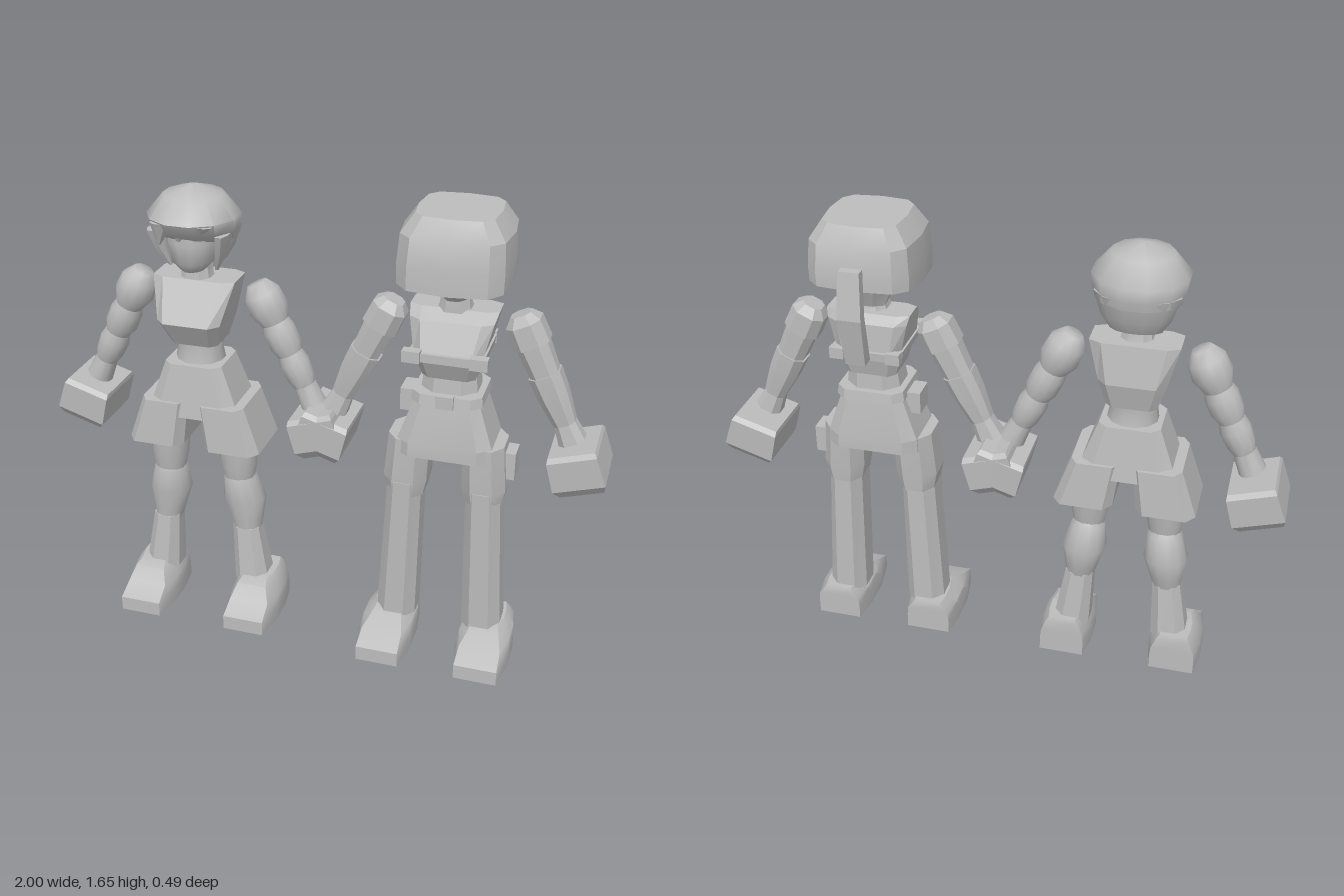
import * as THREE from 'three';
import { toCreasedNormals } from 'three/addons/utils/BufferGeometryUtils.js';

const grey = new THREE.MeshStandardMaterial({ color: 0xbcbcbc });
grey.name = 'clay grey';

// Unit outlines in the x/z plane
const ngon = n => Array.from({ length: n }, (_, i) => {
  const t = (i + 0.5) / n * Math.PI * 2, k = 1 / Math.cos(Math.PI / n);
  return [Math.cos(t) * k, Math.sin(t) * k];
});
const cutBox = c => [[1, -c], [1, c], [c, 1], [-c, 1], [-1, c], [-1, -c], [-c, -1], [c, -1]];
const OCT = cutBox(0.5), BLOCK = cutBox(0.72), BOX = ngon(4), ROUND = ngon(12);
const SOLE = [[0.85, -1], [1, -0.4], [1, 0.3], [0.8, 1], [-0.8, 1], [-1, 0.3], [-1, -0.4], [-0.85, -1]];
const BARREL = [[1, 0], [0.93, 0.68], [0.7, 0.92], [0, 1], [-0.7, 0.92], [-0.93, 0.68],
  [-1, 0], [-0.93, -0.68], [-0.7, -0.92], [0, -1], [0.7, -0.92], [0.93, -0.68]];

// Closed loft through horizontal sections [y, halfWidth, zBack, zFront, xCentre], bottom to top
function loft(sections, outline, crease = 0.5) {
  const pos = [], idx = [], n = outline.length, last = sections.length - 1;
  for (const [y, rx, zb, zf, cx = 0] of sections)
    for (const [ox, oz] of outline) pos.push(cx + rx * ox, y, (zb + zf) / 2 + (zf - zb) / 2 * oz);
  for (let i = 0; i < last; i++) for (let j = 0; j < n; j++) {
    const k = (j + 1) % n, a = i * n + j, b = i * n + k;
    idx.push(a, a + n, b, b, a + n, b + n);
  }
  for (const [i, flip] of [[0, false], [last, true]]) {
    const [y, , zb, zf, cx = 0] = sections[i], c = pos.length / 3;
    pos.push(cx, y, (zb + zf) / 2);
    for (let j = 0; j < n; j++) {
      const a = i * n + j, b = i * n + (j + 1) % n;
      idx.push(c, flip ? b : a, flip ? a : b);
    }
  }
  const g = new THREE.BufferGeometry();
  g.setAttribute('position', new THREE.Float32BufferAttribute(pos, 3));
  g.setIndex(idx);
  return toCreasedNormals(g, crease);
}

function add(group, name, geometry, x = 0, y = 0, z = 0, tilt = 0) {
  const m = new THREE.Mesh(geometry, grey);
  m.name = name;
  m.position.set(x, y, z);
  m.rotation.z = tilt;
  group.add(m);
  return m;
}
const box = (w, h, d) => new THREE.BoxGeometry(w, h, d);
// Limb profile [distance below the joint, radius] to loft sections
const limb = p => p.map(([d, r]) => [-d, r, -r, r]).reverse();
const shift = (sections, s) => sections.map(([y, rx, zb, zf, cx = 0]) => [y, rx, zb, zf, cx * s]);

// Arms, gloves and feet share their layout
function addArm(g, s, profiles, outline, crease) {
  profiles.forEach(([name, p]) => add(g, name, loft(limb(p), outline, crease), s * 0.215, 1.3, -0.02, s * 0.44));
  add(g, 'glove', loft([[-0.085, 0.075, -0.12, 0.05], [-0.05, 0.09, -0.15, 0.08],
    [0.06, 0.085, -0.155, 0.085], [0.075, 0.08, -0.14, 0.07]], BOX, 0.2), s * 0.445, 0.79, 0, s * 0.3);
}
function addFoot(g, s, x, toe, h) {
  add(g, 'shoe', loft([[0, 0.096, -0.09, toe], [0.055, 0.096, -0.09, toe],
    [0.09, 0.092, -0.09, toe - 0.07], [h - 0.015, 0.07, -0.09, 0.11], [h, 0.058, -0.085, 0.07]], SOLE, 0.6), s * x);
}

function makeShortsFigure() {
  const g = new THREE.Group();
  g.name = 'figureInShorts';
  // Head and hair
  add(g, 'neck', loft([[1.29, 0.07, -0.07, 0.05], [1.325, 0.05, -0.055, 0.045], [1.4, 0.045, -0.05, 0.04]], OCT));
  add(g, 'face', loft([[1.355, 0.04, -0.03, 0.075], [1.39, 0.075, -0.06, 0.1],
    [1.46, 0.088, -0.08, 0.108], [1.55, 0.088, -0.08, 0.1]], ROUND, 1));
  add(g, 'hairCap', loft([[1.47, 0.14, -0.145, 0.085], [1.5, 0.15, -0.152, 0.13], [1.545, 0.157, -0.155, 0.155],
    [1.615, 0.1, -0.1, 0.1], [1.645, 0.012, -0.012, 0.012]], ROUND, 1.1));
  add(g, 'backHair', loft([[1.37, 0.085, -0.1, -0.01], [1.42, 0.115, -0.13, 0.015],
    [1.5, 0.14, -0.148, 0.04]], ROUND, 0.9));
  for (const s of [-1, 1])
    add(g, 'sideLock', loft([[1.36, 0.006, 0.02, 0.035, 0.085 * s], [1.43, 0.018, 0, 0.075, 0.108 * s],
      [1.5, 0.022, -0.02, 0.1, 0.122 * s]], OCT));
  for (const [x, w, tip] of [[-0.07, 0.04, 1.455], [0, 0.045, 1.47], [0.07, 0.04, 1.49]])
    add(g, 'fringe', loft([[tip, 0.004, 0.095, 0.105, x - 0.02], [1.54, w, 0.085, 0.14, x]], OCT));
  // Body
  add(g, 'chest', loft([[1.085, 0.086, -0.085, 0.075], [1.18, 0.115, -0.11, 0.135],
    [1.32, 0.15, -0.09, 0.05]], BLOCK, 0.2));
  add(g, 'waist', loft([[1.0, 0.088, -0.085, 0.08], [1.05, 0.08, -0.075, 0.07], [1.1, 0.083, -0.08, 0.072]], ROUND, 1));
  add(g, 'hips', loft([[0.82, 0.175, -0.125, 0.125], [1.015, 0.105, -0.1, 0.1]], BLOCK, 0.2));
  const arm = [
    ['shoulder', [[-0.01, 0.035], [0.03, 0.063], [0.09, 0.068], [0.15, 0.045]]],
    ['upperArm', [[0.13, 0.045], [0.17, 0.056], [0.23, 0.056], [0.28, 0.038]]],
    ['forearm', [[0.25, 0.04], [0.3, 0.052], [0.36, 0.048], [0.4, 0.036]]],
    ['wrist', [[0.36, 0.036], [0.47, 0.046]]]];
  for (const s of [-1, 1]) {
    addArm(g, s, arm, ROUND, 1);
    add(g, 'shortsLeg', loft(shift([[0.705, 0.104, -0.14, 0.14, 0.144],
      [0.875, 0.085, -0.13, 0.13, 0.105]], s), BLOCK, 0.2));
    add(g, 'thigh', loft(shift([[0.54, 0.052, -0.04, 0.06, 0.137], [0.62, 0.066, -0.055, 0.075, 0.135],
      [0.74, 0.074, -0.07, 0.08, 0.13]], s), ROUND, 1));
    add(g, 'calf', loft(shift([[0.33, 0.05, -0.05, 0.05, 0.16], [0.38, 0.06, -0.065, 0.055, 0.155],
      [0.46, 0.077, -0.082, 0.065, 0.148], [0.55, 0.06, -0.06, 0.068, 0.138], [0.58, 0.045, -0.04, 0.055, 0.137]], s), ROUND, 1));
    add(g, 'bootShaft', loft(shift([[0.12, 0.066, -0.07, 0.075, 0.183],
      [0.345, 0.05, -0.052, 0.052, 0.16]], s), OCT));
    addFoot(g, s, 0.207, 0.215, 0.155);
  }
  return g;
}

function makeTrouserFigure() {
  const g = new THREE.Group();
  g.name = 'figureInTrousers';
  // Head, helmet-like hair and ponytail
  add(g, 'neck', loft([[1.29, 0.07, -0.07, 0.05], [1.33, 0.05, -0.05, 0.05], [1.4, 0.045, -0.045, 0.045]], OCT));
  add(g, 'face', loft([[1.355, 0.035, -0.03, 0.06], [1.39, 0.075, -0.06, 0.095], [1.46, 0.09, -0.08, 0.11]], OCT));
  add(g, 'underHair', loft([[1.365, 0.07, -0.11, -0.04], [1.45, 0.115, -0.15, 0.02]], OCT));
  for (const s of [-1, 1])
    add(g, 'sideLock', loft([[1.365, 0.008, 0.01, 0.03, 0.085 * s], [1.45, 0.02, -0.03, 0.08, 0.105 * s]], OCT));
  const helmet = loft([[1.425, 0.186, -0.188, 0.19], [1.5, 0.187, -0.188, 0.188],
    [1.59, 0.18, -0.175, 0.175], [1.655, 0.135, -0.14, 0.14]], BARREL, 0.42);
  // Raise the rim towards the back
  const p = helmet.attributes.position;
  for (let i = 0; i < p.count; i++)
    if (p.getY(i) < 1.43) p.setY(i, 1.435 - p.getZ(i) * 0.08);
  add(g, 'helmetHair', helmet);
  add(g, 'ponytail', loft([[1.19, 0.034, -0.205, -0.155], [1.37, 0.042, -0.242, -0.205],
    [1.53, 0.036, -0.215, -0.182]], BOX, 0.1));
  // Torso, chest band and belt
  add(g, 'chest', loft([[1.09, 0.09, -0.085, 0.09], [1.18, 0.115, -0.11, 0.135],
    [1.29, 0.14, -0.1, 0.085], [1.32, 0.148, -0.075, 0.035]], BLOCK, 0.2));
  add(g, 'waist', loft([[1.0, 0.1, -0.09, 0.09], [1.1, 0.088, -0.085, 0.08]], OCT));
  add(g, 'chestBand', loft([[1.165, 0.122, -0.12, 0.142], [1.195, 0.126, -0.122, 0.142]], BLOCK));
  add(g, 'belt', loft([[1.0, 0.122, -0.115, 0.115], [1.035, 0.118, -0.11, 0.11]], BLOCK));
  add(g, 'beltBuckle', box(0.06, 0.045, 0.025), 0, 1.018, 0.112);
  add(g, 'hips', loft([[0.8, 0.165, -0.12, 0.125], [0.85, 0.163, -0.12, 0.125], [1.01, 0.108, -0.1, 0.1]], BLOCK, 0.2));
  add(g, 'hipPouch', box(0.055, 0.08, 0.09), -0.14, 0.975, 0);
  add(g, 'thighPocket', box(0.04, 0.1, 0.08), 0.218, 0.77, 0);
  const arm = [
    ['shoulder', [[-0.01, 0.035], [0.02, 0.06], [0.1, 0.062]]],
    ['upperArm', [[0.1, 0.054], [0.23, 0.048]]],
    ['forearm', [[0.21, 0.055], [0.29, 0.052], [0.4, 0.038]]],
    ['wrist', [[0.38, 0.034], [0.47, 0.046]]]];
  for (const s of [-1, 1]) {
    addArm(g, s, arm, OCT, 0.3);
    add(g, 'bandClip', box(0.06, 0.04, 0.035), s * 0.112, 1.185, 0.14);
    add(g, 'backClip', box(0.05, 0.04, 0.03), s * 0.1, 1.18, -0.11);
    add(g, 'thigh', loft(shift([[0.62, 0.064, -0.07, 0.1, 0.138], [0.68, 0.076, -0.075, 0.105, 0.138],
      [0.85, 0.072, -0.08, 0.105, 0.128]], s), OCT, 0.2));
    add(g, 'trouserLeg', loft(shift([[0.11, 0.071, -0.066, 0.092, 0.158],
      [0.68, 0.06, -0.06, 0.108, 0.138]], s), OCT, 0.2));
    addFoot(g, s, 0.18, 0.245, 0.13);
  }
  return g;
}

export function createModel() {
  const model = new THREE.Group();
  model.name = 'pairOfFigures';
  const a = makeShortsFigure(), b = makeTrouserFigure();
  a.position.x = -0.455;
  b.position.x = 0.455;
  model.add(a, b);
  return model;
}
